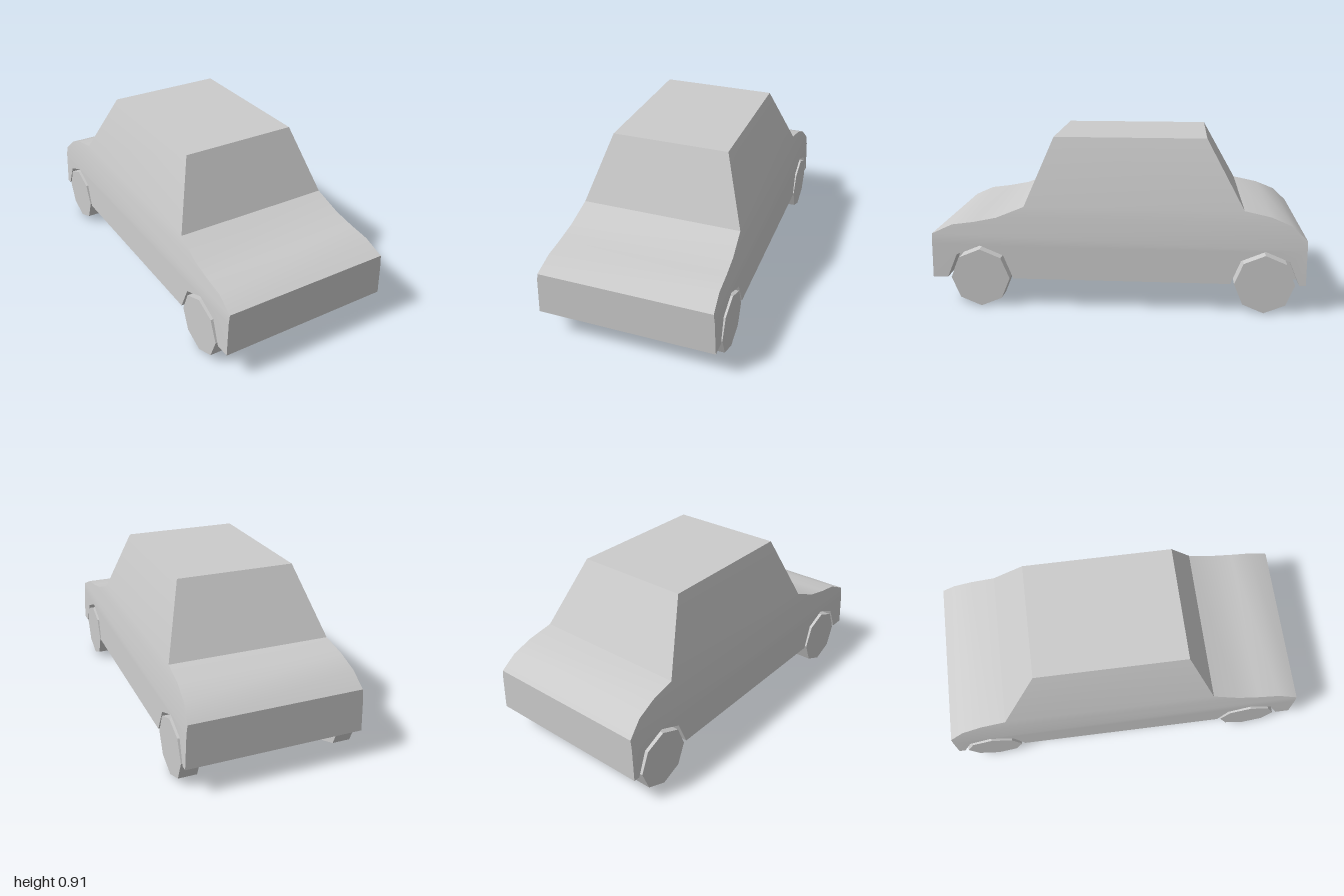
import * as THREE from 'three';
import { toCreasedNormals } from 'three/addons/utils/BufferGeometryUtils.js';

const BASE = 0.16, BELT = 0.35, SILL = 0.55;
const AXLES = [-0.785, 0.74];
const WHEEL_R = 0.16, ARCH_R = 0.18, INNER_X = 0.38;

// Half-width of the body at each height
const WIDTHS = [[BASE, 0.48], [BELT, 0.472], [0.4, 0.466], [SILL, 0.44], [0.91, 0.32]];
function halfWidth(y) {
  for (let i = 1; i < WIDTHS.length; i++) {
    const [y0, w0] = WIDTHS[i - 1], [y1, w1] = WIDTHS[i];
    if (y <= y1 + 1e-6) return w0 + (w1 - w0) * (y - y0) / (y1 - y0);
  }
  return 0.32;
}

// Side outlines as [z, y]
const BONNET = [[1, 0.4], [0.89, 0.45], [0.77, 0.466], [0.65, 0.49], [0.5, SILL]];
const BOOT = [[-0.67, SILL], [-0.81, 0.52], [-0.92, 0.475], [-1, 0.4]];
const ROOF = [[0.35, 0.91], [-0.47, 0.91]];

// Half-octagon over an axle, from back to front
function archPoints(z) {
  return Array.from({ length: 5 }, (_, i) => {
    const a = Math.PI * (1 - i / 4);
    return [z + ARCH_R * Math.cos(a), BASE + ARCH_R * Math.sin(a)];
  });
}

// Collects triangles from flat outlines and quads
class Surface {
  positions = [];
  tri(a, b, c, flip) {
    this.positions.push(...a, ...(flip ? c : b), ...(flip ? b : c));
  }
  quad(a, b, c, d, flip = false) {
    this.tri(a, b, c, flip);
    this.tri(a, c, d, flip);
  }
  outline(points, place, flip = false) {
    const flat = points.map(([u, v]) => new THREE.Vector2(u, v));
    for (const [a, b, c] of THREE.ShapeUtils.triangulateShape(flat, [])) {
      this.tri(place(points[a]), place(points[b]), place(points[c]), flip);
    }
  }
  mesh(name, material, crease) {
    const geometry = new THREE.BufferGeometry();
    geometry.setAttribute('position', new THREE.Float32BufferAttribute(this.positions, 3));
    const mesh = new THREE.Mesh(toCreasedNormals(geometry, crease), material);
    mesh.name = name;
    return mesh;
  }
}

function createBody(material) {
  const body = new Surface();

  // Nose, bonnet, windscreen, roof, rear window, boot and tail
  const profile = [[1, BASE], [1, BELT], ...BONNET, ...ROOF, ...BOOT, [-1, BELT], [-1, BASE]];
  const at = ([z, y], side) => [side * halfWidth(y), y, z];
  for (let i = 1; i < profile.length; i++) {
    const a = profile[i - 1], b = profile[i];
    body.quad(at(a, -1), at(a, 1), at(b, 1), at(b, -1));
  }

  // Sides in three bands: lower with arches, waist, cabin
  const lower = [[-1, BASE], ...AXLES.flatMap(archPoints), [1, BASE], [1, BELT], [-1, BELT]];
  const waist = [[-1, BELT], [1, BELT], ...BONNET, ...BOOT];
  const cabin = [BOOT[0], BONNET[4], ...ROOF];
  for (const side of [-1, 1]) {
    for (const band of [lower, waist, cabin]) {
      body.outline(band, p => at(p, side), side > 0);
    }
  }
  return body.mesh('body', material, 0.6);
}

function createUnderside(material) {
  const floor = new Surface();
  const w = halfWidth(BASE);
  const edge = [[w, -1]];
  for (const z of AXLES) {
    edge.push([w, z - ARCH_R], [INNER_X, z - ARCH_R], [INNER_X, z + ARCH_R], [w, z + ARCH_R]);
  }
  edge.push([w, 1]);
  const mirrored = edge.map(([x, z]) => [-x, z]).reverse();
  floor.outline([...edge, ...mirrored], ([x, z]) => [x, BASE, z]);
  return floor.mesh('underside', material, 0.1);
}

function createWheelArches(material) {
  const arches = new Surface();
  for (const side of [-1, 1]) {
    for (const z of AXLES) {
      const points = archPoints(z);
      const inner = ([pz, y]) => [side * INNER_X, y, pz];
      const outer = ([pz, y]) => [side * halfWidth(y), y, pz];
      for (let i = 1; i < points.length; i++) {
        const a = points[i - 1], b = points[i];
        arches.quad(inner(a), outer(a), outer(b), inner(b), side < 0);
      }
      arches.outline(points.slice().reverse(), inner, side > 0);
    }
  }
  return arches.mesh('wheelArches', material, 0.1);
}

export function createModel() {
  const model = new THREE.Group();
  model.name = 'car';
  const smooth = new THREE.MeshStandardMaterial({ color: 0xcccccc });
  const faceted = new THREE.MeshStandardMaterial({ color: 0xcccccc, flatShading: true });

  model.add(createBody(smooth), createUnderside(smooth), createWheelArches(smooth));

  // Eight-sided wheels standing on a corner
  const wheelGeometry = new THREE.CylinderGeometry(WHEEL_R, WHEEL_R, 0.1, 8).rotateZ(Math.PI / 2);
  for (const z of AXLES) {
    for (const side of [-1, 1]) {
      const wheel = new THREE.Mesh(wheelGeometry, faceted);
      wheel.name = (z > 0 ? 'front' : 'rear') + (side > 0 ? 'Left' : 'Right') + 'Wheel';
      wheel.position.set(side * (INNER_X + 0.051), WHEEL_R, z);
      model.add(wheel);
    }
  }
  return model;
}
